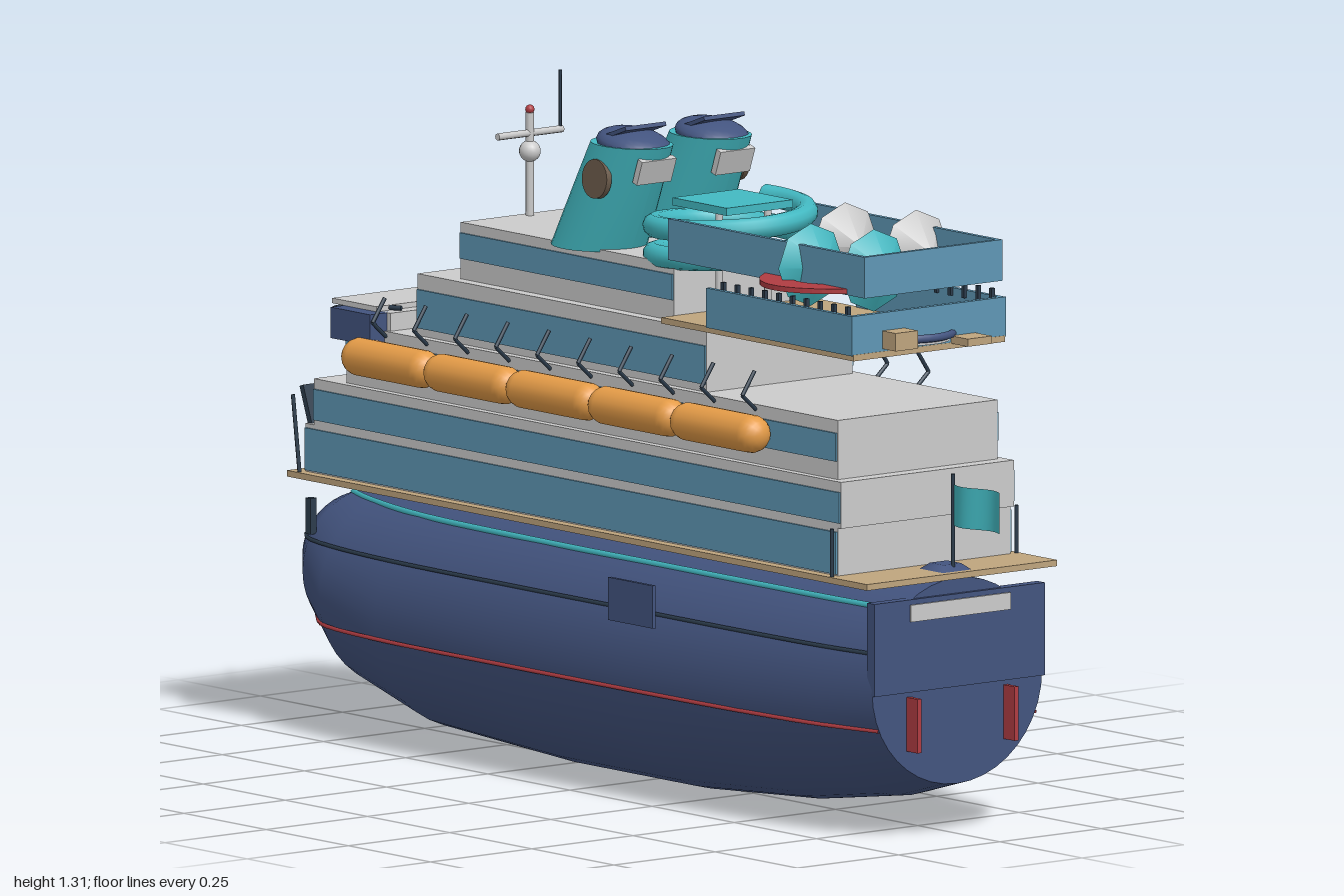
import * as THREE from 'three';

const mat = (color) => new THREE.MeshStandardMaterial({ color, side: THREE.DoubleSide });
const GREY = mat(0xcccccc), NAVY = mat(0x43547f), BLUE = mat(0x5f97b5), TEAL = mat(0x43b9c2),
  TAN = mat(0xbfa57e), ORANGE = mat(0xe59c48), RED = mat(0xb03c42), DARK = mat(0x2c3c4c), BROWN = mat(0x6b5a4a);

// Hull stations: z, bottom y, top y, half width
const STATIONS = [
  [0.87, 0.10, 0.5, 0.21], [0.73, 0.06, 0.5, 0.232], [0.5, 0.025, 0.5, 0.245], [0.17, 0.003, 0.5, 0.25],
  [-0.2, 0.003, 0.5, 0.25], [-0.6, 0.025, 0.487, 0.245], [-0.8, 0.08, 0.467, 0.22],
  [-0.9, 0.16, 0.457, 0.18], [-0.95, 0.22, 0.44, 0.14], [-0.985, 0.3, 0.4, 0.07]];

function hullGeometry() {
  const N = 40, pos = [], idx = [];
  for (const [z, b, t, w] of STATIONS)
    for (let i = 0; i < N; i++) {
      const a = (i / N) * Math.PI * 2;
      pos.push(w * Math.cos(a), (b + t) / 2 + ((t - b) / 2) * Math.sin(a), z);
    }
  for (let s = 0; s < STATIONS.length - 1; s++)
    for (let i = 0; i < N; i++) {
      const a = s * N + i, b = s * N + (i + 1) % N;
      idx.push(a, a + N, b, b, a + N, b + N);
    }
  const g = new THREE.BufferGeometry();
  g.setAttribute('position', new THREE.Float32BufferAttribute(pos, 3));
  g.setIndex(idx);
  g.computeVertexNormals();
  return g;
}

// Thin line following the hull side at height y
function stripeGeometry(y, side, r) {
  const pts = [];
  for (const [z, b, t, w] of STATIONS) {
    const k = (y - (b + t) / 2) / ((t - b) / 2);
    if (Math.abs(k) < 1) pts.push(new THREE.Vector3(side * w * Math.sqrt(1 - k * k), y, z));
  }
  return new THREE.TubeGeometry(new THREE.CatmullRomCurve3(pts), 50, r, 5);
}

export function createModel() {
  const root = new THREE.Group();
  const add = (name, geo, m, x = 0, y = 0, z = 0, rx = 0, ry = 0, rz = 0) => {
    const o = new THREE.Mesh(geo, m);
    o.name = name;
    o.position.set(x, y, z);
    o.rotation.set(rx, ry, rz);
    root.add(o);
    return o;
  };
  // Box given by its extents
  const box = (name, m, x0, x1, y0, y1, z0, z1) =>
    add(name, new THREE.BoxGeometry(x1 - x0, y1 - y0, z1 - z0), m, (x0 + x1) / 2, (y0 + y1) / 2, (z0 + z1) / 2);
  const rod = (name, m, a, b, r) => {
    const p = new THREE.Vector3(...a), q = new THREE.Vector3(...b), d = q.clone().sub(p);
    const o = add(name, new THREE.CylinderGeometry(r, r, d.length(), 8), m);
    o.position.copy(p).add(q).multiplyScalar(0.5);
    o.quaternion.setFromUnitVectors(new THREE.Vector3(0, 1, 0), d.normalize());
    return o;
  };
  const SIDES = [-1, 1];

  // Hull
  add('hull', hullGeometry(), NAVY);
  add('sternCap', new THREE.CircleGeometry(1, 40), NAVY, 0, 0.3, 0.87).scale.set(0.21, 0.2, 1);
  add('bowCap', new THREE.CircleGeometry(1, 40), NAVY, 0, 0.35, -0.985, 0, Math.PI).scale.set(0.07, 0.05, 1);
  box('transom', NAVY, -0.21, 0.21, 0.29, 0.47, 0.855, 0.878);
  box('transomPanel', GREY, -0.123, 0.123, 0.427, 0.46, 0.87, 0.882);
  add('bowBulb', new THREE.CylinderGeometry(0.03, 0.04, 0.1, 16), RED, 0, 0.19, -0.95, Math.PI / 2 - 0.2);
  for (const s of SIDES) {
    add('waterline', stripeGeometry(0.22, s, 0.004), RED);
    add('hullLine', stripeGeometry(0.37, s, 0.004), DARK);
    add('upperHullLine', stripeGeometry(0.45, s, 0.006), TEAL);
    box('rudder', RED, s * 0.12 - 0.005, s * 0.12 + 0.005, 0.175, 0.28, 0.84, 0.903);
    box('sideHatch', NAVY, s * 0.241 - 0.004, s * 0.241 + 0.004, 0.347, 0.43, 0.11, 0.245);
    box('anchor', DARK, s * 0.165 - 0.008, s * 0.165 + 0.008, 0.38, 0.45, -0.9, -0.885);
  }

  // Main deck and stacked tiers
  box('mainDeck', TAN, -0.235, 0.235, 0.5, 0.512, -0.88, 0.885);
  box('bowPlatform', TAN, -0.095, 0.095, 0.5, 0.512, -0.99, -0.88);
  box('bowWinch', NAVY, -0.04, 0.04, 0.512, 0.54, -0.945, -0.915);
  // half width, bottom, top, back z, front z, band bottom, band top
  const TIERS = [
    [0.213, 0.51, 0.605, -0.85, 0.77, 0.515, 0.597], [0.213, 0.605, 0.695, -0.825, 0.78, 0.615, 0.675],
    [0.197, 0.695, 0.81, -0.745, 0.75, 0.73, 0.785], [0.18, 0.81, 0.93, -0.55, 0.33, 0.825, 0.9],
    [0.155, 0.93, 1.04, -0.45, 0.2, 0.97, 1.02]];
  for (const [w, y0, y1, z0, z1, b0, b1] of TIERS) {
    box('tier', GREY, -w, w, y0, y1, z0, z1);
    for (const s of SIDES) box('windowBand', BLUE, s * w - 0.004, s * w + 0.004, b0, b1, z0 + 0.002, z1 - 0.002);
  }

  // Forward windows, bridge and its wings
  add('forwardWindows', new THREE.BoxGeometry(0.41, 0.085, 0.012), DARK, 0, 0.635, -0.858, -0.35);
  box('bridge', GREY, -0.19, 0.19, 0.78, 0.845, -0.75, -0.62);
  add('bridgeWindows', new THREE.BoxGeometry(0.42, 0.06, 0.012), DARK, 0, 0.815, -0.757, -0.3);
  box('bridgeRoof', GREY, -0.2, 0.2, 0.845, 0.855, -0.785, -0.65);
  for (const s of SIDES) {
    add('bridgeWing', new THREE.BoxGeometry(0.05, 0.06, 0.12), NAVY, s * 0.207, 0.815, -0.69);
    rod('bridgeStrut', DARK, [s * 0.155, 0.85, -0.63], [s * 0.18, 0.85, -0.68], 0.005);
    rod('sternRail', DARK, [s * 0.228, 0.512, 0.77], [s * 0.228, 0.605, 0.77], 0.004);
    rod('bowRail', DARK, [s * 0.228, 0.512, -0.85], [s * 0.228, 0.66, -0.87], 0.004);
  }
  rod('foreMast', GREY, [0, 0.69, -0.83], [0, 0.83, -0.83], 0.006);
  rod('foreMastBar', GREY, [-0.07, 0.76, -0.83], [0.07, 0.76, -0.83], 0.007);

  // Lifeboats with davits
  for (const s of SIDES) {
    for (let i = 0; i < 5; i++)
      add('lifeboat', new THREE.CapsuleGeometry(0.037, 0.19, 6, 16), ORANGE, s * 0.232, 0.76, 0.435 - i * 0.25, Math.PI / 2);
    for (let i = 0; i < 10; i++) {
      const z = 0.5 - i * 0.125;
      rod('davit', DARK, [s * 0.197, 0.8, z], [s * 0.23, 0.83, z], 0.004);
      rod('davitArm', DARK, [s * 0.23, 0.83, z], [s * 0.2, 0.875, z], 0.004);
    }
  }

  // Lower pool deck
  box('poolDeckFloor', TAN, -0.187, 0.187, 0.928, 0.94, 0.2, 0.785);
  box('lowerSternWall', BLUE, -0.19, 0.19, 0.938, 1.015, 0.772, 0.784);
  for (const s of SIDES) {
    box('lowerSideWall', BLUE, s * 0.185 - 0.005, s * 0.185 + 0.005, 0.938, 1.015, 0.34, 0.784);
    for (let i = 0; i < 10; i++)
      box('railPost', DARK, s * 0.178 - 0.004, s * 0.178 + 0.004, 1.0, 1.03, 0.375 + i * 0.042, 0.383 + i * 0.042);
  }
  box('balcony', TAN, -0.115, -0.06, 0.945, 0.98, 0.784, 0.825);
  box('balconySmall', TAN, 0.055, 0.115, 0.938, 0.953, 0.784, 0.835);
  add('pool', new THREE.CylinderGeometry(0.09, 0.09, 0.012, 32), GREY, 0, 0.95, 0.71);
  add('poolRim', new THREE.TorusGeometry(0.093, 0.008, 8, 32), NAVY, 0, 0.957, 0.71, Math.PI / 2);
  box('poolBench', GREY, -0.08, 0.08, 0.94, 0.955, 0.49, 0.54);

  // Upper walls, oval walkway and cone canopies
  box('upperSternWall', BLUE, -0.17, 0.17, 1.05, 1.13, 0.788, 0.798);
  for (const s of SIDES) box('upperSideWall', BLUE, s * 0.165 - 0.005, s * 0.165 + 0.005, 1.05, 1.13, 0.2, 0.798);
  const oval = new THREE.Shape().absellipse(0, 0, 0.25, 0.17, 0, Math.PI * 2);
  oval.holes.push(new THREE.Path().absellipse(0, 0, 0.185, 0.125, 0, Math.PI * 2));
  add('ovalWalkway', new THREE.ExtrudeGeometry(oval, { depth: 0.01, bevelEnabled: false, curveSegments: 32 }),
    RED, 0, 1.062, 0.62, Math.PI / 2);
  for (const [x, z, m] of [[-0.13, 0.61, TEAL], [0.13, 0.61, GREY], [-0.08, 0.74, TEAL], [0.08, 0.455, GREY]])
    add('canopy', new THREE.ConeGeometry(0.08, 0.05, 8), m, x, 1.085, z, Math.PI / 2);

  // Spiral water slide
  const path = [];
  for (let i = 0; i <= 36; i++) {
    const a = -0.4 + (i / 36) * Math.PI * 3.6;
    path.push(new THREE.Vector3(0.145 * Math.cos(a), 1.135 - 0.1 * (i / 36), 0.18 + 0.15 * Math.sin(a)));
  }
  add('waterSlide', new THREE.TubeGeometry(new THREE.CatmullRomCurve3(path), 100, 0.022, 10), TEAL);
  box('slidePlatform', TEAL, -0.082, 0.082, 1.135, 1.15, 0.105, 0.27);
  for (const s of SIDES) rod('slidePost', GREY, [s * 0.06, 0.94, 0.22], [s * 0.06, 1.14, 0.22], 0.007);

  // Twin raked funnels
  for (const s of SIDES) {
    const g = new THREE.CylinderGeometry(0.07, 0.088, 0.21, 32, 6);
    const p = g.attributes.position;
    for (let i = 0; i < p.count; i++) {
      const t = p.getY(i) / 0.21 + 0.5;
      p.setZ(i, p.getZ(i) * (1.12 + 0.2 * t) - 0.1 + 0.1 * t);
    }
    g.computeVertexNormals();
    const x = s * 0.097;
    add('funnel', g, TEAL, x, 1.14, 0);
    add('funnelCap', new THREE.SphereGeometry(1, 24, 12), NAVY, x, 1.245, 0.005, 0.15).scale.set(0.067, 0.028, 0.08);
    add('funnelFin', new THREE.BoxGeometry(0.1, 0.008, 0.09), NAVY, x, 1.267, 0, -0.35);
    add('funnelDisc', new THREE.CylinderGeometry(0.038, 0.038, 0.012, 24), BROWN, x + s * 0.073, 1.18, -0.017, 0, 0, Math.PI / 2 + s * 0.08);
    add('funnelGrille', new THREE.BoxGeometry(0.085, 0.05, 0.014), GREY, x, 1.2, 0.069, 0.35);
  }

  // Mast
  rod('mast', GREY, [0, 1.04, -0.43], [0, 1.24, -0.43], 0.008);
  add('radarDome', new THREE.SphereGeometry(0.021, 16, 12), GREY, 0, 1.165, -0.43);
  add('mastLight', new THREE.SphereGeometry(0.009, 12, 8), RED, 0, 1.246, -0.43);
  rod('mastBar', GREY, [-0.08, 1.2, -0.43], [0.08, 1.2, -0.43], 0.007);
  rod('antenna', DARK, [0.075, 1.2, -0.43], [0.075, 1.315, -0.43], 0.003);

  // Stern flag with a wavy cloth
  rod('flagPole', DARK, [0, 0.51, 0.858], [0, 0.7, 0.858], 0.004);
  const cloth = new THREE.PlaneGeometry(0.14, 0.08, 14, 1), cp = cloth.attributes.position;
  for (let i = 0; i < cp.count; i++) cp.setZ(i, 0.01 * Math.sin((cp.getX(i) + 0.07) * 45));
  cloth.computeVertexNormals();
  add('flag', cloth, TEAL, 0, 0.64, 0.93, 0, -Math.PI / 2);
  add('flagBase', new THREE.CylinderGeometry(0.03, 0.05, 0.012, 4), NAVY, 0, 0.518, 0.835, 0, Math.PI / 4);
  return root;
}
